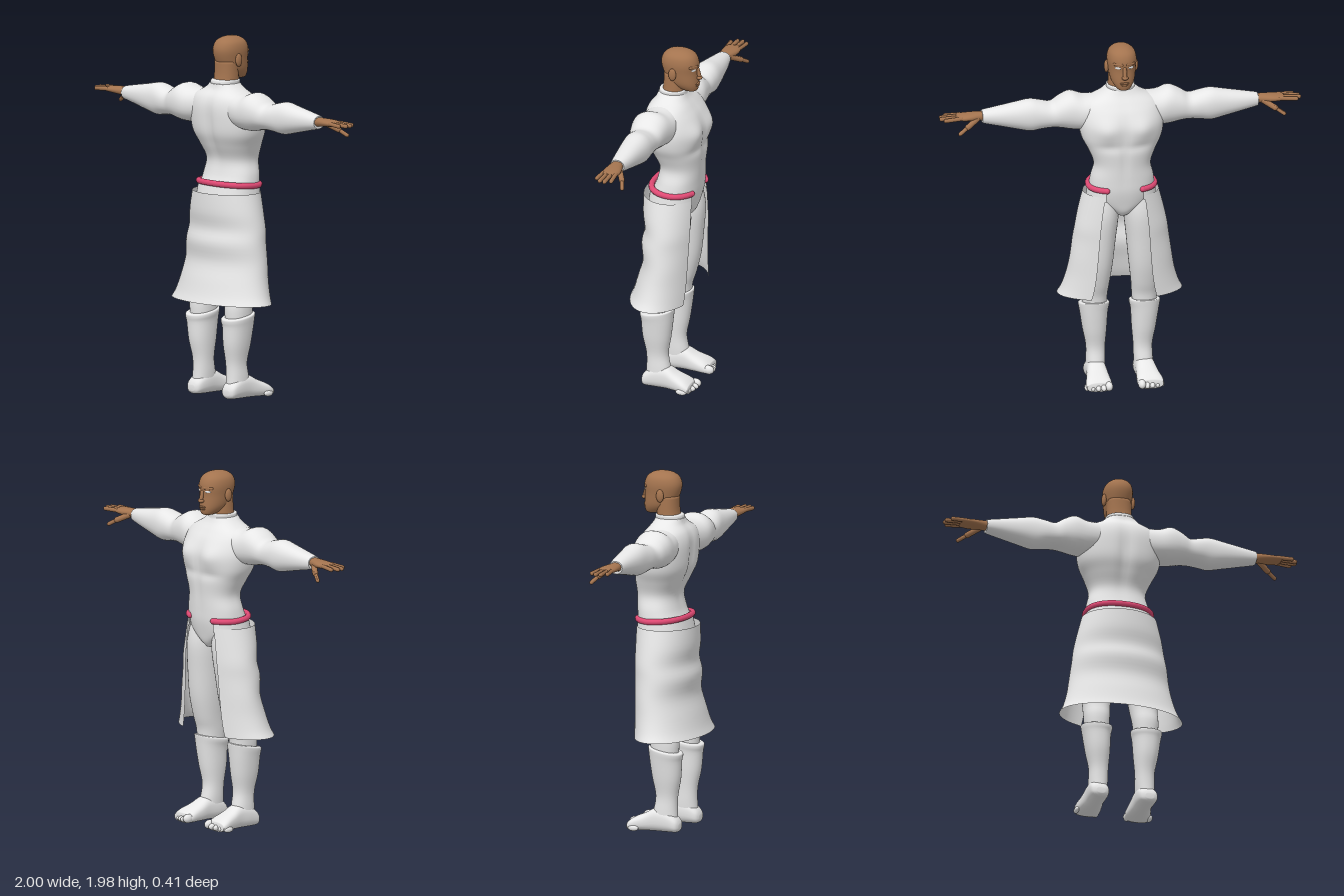
import * as THREE from 'three';

const mat = (name, color, side = THREE.FrontSide) => {
  const m = new THREE.MeshStandardMaterial({ color, side });
  m.name = name;
  return m;
};

// Catmull-Rom resampling of a few cross-section rows
function resample(rows, k) {
  const out = [], last = rows.length - 1;
  for (let i = 0; i < last; i++) {
    const [a, b, c, d] = [rows[Math.max(i - 1, 0)], rows[i], rows[i + 1], rows[Math.min(i + 2, last)]];
    for (let j = 0; j < k; j++) {
      const t = j / k;
      out.push(b.map((_, q) => b[q] + 0.5 * t * (c[q] - a[q]
        + t * (2 * a[q] - 5 * b[q] + 4 * c[q] - d[q] + t * (3 * (b[q] - c[q]) + d[q] - a[q])))));
    }
  }
  out.push(rows[last]);
  return out;
}

function flip(geo) {
  const ix = geo.index.array;
  for (let i = 0; i < ix.length; i += 3) [ix[i], ix[i + 1]] = [ix[i + 1], ix[i]];
}

// Skin through oval sections: row = [position on axis, u0, u1, v0, v1]
// axis y: u = x, v = z; axis x: u = y, v = z; axis z: u = x, v = y. gap leaves the -z side open.
function loft(axis, rows, { n = 32, p = 2.2, k = 4, gap = 0, deform = null } = {}) {
  const pos = [], idx = [], list = resample(rows, k), cols = gap ? n + 1 : n;
  const place = (w, u, v) => {
    const q = axis === 'y' ? new THREE.Vector3(u, w, v)
      : axis === 'x' ? new THREE.Vector3(w, u, v) : new THREE.Vector3(u, v, w);
    if (deform) deform(q);
    pos.push(q.x, q.y, q.z);
  };
  const pw = c => Math.sign(c) * Math.abs(c) ** (2 / p);
  for (const [w, u0, u1, v0, v1] of list)
    for (let j = 0; j < cols; j++) {
      const t = -Math.PI / 2 + gap + (j / n) * (Math.PI * 2 - 2 * gap);
      place(w, (u0 + u1) / 2 + (u1 - u0) / 2 * pw(Math.cos(t)), (v0 + v1) / 2 + (v1 - v0) / 2 * pw(Math.sin(t)));
    }
  for (let i = 0; i < list.length - 1; i++)
    for (let j = 0; j < n; j++) {
      const a = i * cols + j, b = i * cols + (j + 1) % cols;
      idx.push(a, a + cols, b, b, a + cols, b + cols);
    }
  if (!gap) for (const [r, s] of [[0, 1], [list.length - 1, 0]]) {
    const [w, u0, u1, v0, v1] = list[r], c = pos.length / 3;
    place(w, (u0 + u1) / 2, (v0 + v1) / 2);
    for (let j = 0; j < n; j++) {
      const a = r * cols + j, b = r * cols + (j + 1) % n;
      s ? idx.push(c, a, b) : idx.push(c, b, a);
    }
  }
  const geo = new THREE.BufferGeometry();
  geo.setAttribute('position', new THREE.Float32BufferAttribute(pos, 3));
  geo.setIndex(idx);
  // turn the faces outward by the sign of the enclosed volume
  let vol = 0;
  const P = i => new THREE.Vector3().fromArray(pos, i * 3);
  for (let i = 0; i < idx.length; i += 3) vol += P(idx[i]).dot(P(idx[i + 1]).cross(P(idx[i + 2])));
  if (vol < 0) flip(geo);
  geo.computeVertexNormals();
  return geo;
}

const sym = rows => rows.map(([y, w, f, b]) => [y, -w, w, f, b]);
const blob = (x, y, z, rx, ry, rz) => new THREE.SphereGeometry(1, 20, 14).scale(rx, ry, rz).translate(x, y, z);

// Rounded rod between two points
function rod(a, b, r) {
  const A = new THREE.Vector3(...a), B = new THREE.Vector3(...b), d = B.clone().sub(A);
  const g = new THREE.CapsuleGeometry(r, d.length(), 5, 12);
  g.applyQuaternion(new THREE.Quaternion().setFromUnitVectors(new THREE.Vector3(0, 1, 0), d.normalize()));
  const m = A.add(B).multiplyScalar(0.5);
  return g.translate(m.x, m.y, m.z);
}

export function createModel() {
  const model = new THREE.Group();
  model.name = 'standingFigure';
  const cloth = mat('whiteCloth', 0xe8e8e8), skin = mat('brownSkin', 0xa4744f);
  const sheet = mat('whiteCoat', 0xe8e8e8, THREE.DoubleSide), sash = mat('redSash', 0xe04a74);

  const add = (name, geo, m) => {
    const mesh = new THREE.Mesh(geo, m);
    mesh.name = name;
    model.add(mesh);
  };
  const pair = (name, geo, m) => {
    add(name + 'Left', geo, m);
    const g = geo.clone().scale(-1, 1, 1);
    flip(g);
    g.computeVertexNormals();
    add(name + 'Right', g, m);
  };
  const bump = (d, s) => Math.exp(-((d / s) ** 2));

  // Torso with chest, belly and spine relief
  add('torso', loft('y', sym([
    [1.0, 0.03, -0.11, -0.03], [1.03, 0.07, -0.135, 0.05], [1.08, 0.15, -0.15, 0.085],
    [1.15, 0.176, -0.165, 0.09], [1.22, 0.172, -0.17, 0.065], [1.3, 0.156, -0.175, 0.055],
    [1.38, 0.185, -0.183, 0.09], [1.45, 0.22, -0.185, 0.12], [1.53, 0.232, -0.183, 0.13],
    [1.6, 0.222, -0.158, 0.13], [1.65, 0.195, -0.125, 0.115], [1.69, 0.12, -0.095, 0.085],
    [1.72, 0.08, -0.08, 0.075]]), {
    n: 64, p: 2.3, k: 5, deform: q => {
      const x = Math.abs(q.x);
      if (q.z < -0.03) {
        q.z -= 0.02 * bump(x - 0.1, 0.06) * bump(q.y - 1.52, 0.06);
        q.z += 0.008 * bump(x, 0.02) * bump(q.y - 1.42, 0.18);
        q.z += 0.008 * bump(x - 0.08, 0.08) * bump(q.y - 1.42, 0.025);
      } else if (q.z > 0.02) {
        q.z -= 0.018 * bump(x, 0.03) * bump(q.y - 1.48, 0.16);
      }
    }
  }), cloth);
  add('collar', loft('y', sym([[1.67, 0.095, -0.1, 0.09], [1.71, 0.078, -0.084, 0.075],
    [1.735, 0.078, -0.084, 0.07], [1.74, 0.07, -0.075, 0.06]])), cloth);

  // Head
  add('neck', loft('y', sym([[1.69, 0.072, -0.075, 0.06], [1.76, 0.069, -0.075, 0.047],
    [1.84, 0.066, -0.07, 0.045]])), skin);
  add('head', loft('y', sym([[1.738, 0.02, -0.132, -0.09], [1.745, 0.036, -0.144, -0.06],
    [1.77, 0.056, -0.15, -0.01], [1.8, 0.068, -0.15, 0.025], [1.85, 0.075, -0.147, 0.05],
    [1.9, 0.08, -0.15, 0.061], [1.94, 0.071, -0.136, 0.048], [1.963, 0.047, -0.108, 0.02],
    [1.972, 0.025, -0.08, -0.01], [1.975, 0.006, -0.055, -0.035]])), skin);
  add('noseBridge', rod([0, 1.868, -0.146], [0, 1.825, -0.158], 0.011), skin);
  add('noseTip', blob(0, 1.82, -0.157, 0.018, 0.012, 0.016), skin);
  add('upperLip', blob(0, 1.785, -0.147, 0.026, 0.006, 0.01), skin);
  add('lowerLip', blob(0, 1.774, -0.146, 0.022, 0.006, 0.01), skin);
  pair('brow', rod([0.015, 1.892, -0.143], [0.052, 1.892, -0.124], 0.009), skin);
  pair('eye', blob(0, 0, 0, 0.018, 0.007, 0.004).rotateY(-0.45).translate(0.036, 1.873, -0.138), cloth);
  pair('ear', blob(0.081, 1.848, -0.03, 0.013, 0.036, 0.022), skin);

  // Arms and hands
  pair('sleeve', loft('x', [
    [0.1, 1.5, 1.68, -0.1, 0.1], [0.2, 1.485, 1.675, -0.1, 0.12], [0.27, 1.485, 1.695, -0.09, 0.125],
    [0.33, 1.497, 1.672, -0.08, 0.115], [0.38, 1.502, 1.643, -0.07, 0.1], [0.44, 1.497, 1.655, -0.07, 0.095],
    [0.5, 1.49, 1.667, -0.07, 0.087], [0.58, 1.507, 1.653, -0.06, 0.08], [0.68, 1.53, 1.635, -0.045, 0.067],
    [0.75, 1.545, 1.622, -0.03, 0.057], [0.762, 1.55, 1.618, -0.026, 0.053]]), cloth);
  pair('palm', loft('x', [[0.72, 1.555, 1.612, -0.012, 0.042], [0.78, 1.565, 1.612, -0.024, 0.05],
    [0.84, 1.57, 1.61, -0.04, 0.056], [0.89, 1.575, 1.605, -0.037, 0.056], [0.908, 1.583, 1.598, -0.025, 0.045]],
    { n: 20 }), skin);
  [[-0.027, 0.968, -0.035], [-0.003, 0.988, -0.004], [0.022, 0.985, 0.025], [0.045, 0.958, 0.053]]
    .forEach(([z0, x, z1], i) =>
      pair('finger' + (i + 1), rod([0.88, 1.592, z0], [x, 1.588, z1], 0.0115), skin));
  pair('thumbBase', rod([0.79, 1.58, -0.012], [0.85, 1.548, -0.05], 0.016), skin);
  pair('thumb', rod([0.85, 1.548, -0.05], [0.895, 1.52, -0.07], 0.011), skin);

  // Legs, boots and feet
  pair('leg', loft('y', [
    [1.12, 0.02, 0.17, -0.13, 0.085], [1.0, 0.015, 0.195, -0.145, 0.095], [0.85, 0.03, 0.205, -0.13, 0.09],
    [0.7, 0.045, 0.21, -0.11, 0.085], [0.58, 0.06, 0.207, -0.08, 0.088], [0.5, 0.068, 0.207, -0.055, 0.105],
    [0.4, 0.075, 0.2, -0.05, 0.1]]), cloth);
  pair('boot', loft('y', [
    [0.46, 0.066, 0.214, -0.055, 0.118], [0.456, 0.057, 0.224, -0.063, 0.127], [0.44, 0.056, 0.224, -0.062, 0.127],
    [0.4, 0.064, 0.217, -0.056, 0.122], [0.3, 0.07, 0.202, -0.043, 0.116], [0.2, 0.078, 0.183, -0.026, 0.097],
    [0.12, 0.08, 0.184, -0.038, 0.095], [0.05, 0.085, 0.185, -0.05, 0.1]],
    { deform: q => { q.y += THREE.MathUtils.smoothstep(q.y, 0.38, 0.45) * (0.025 - q.z) * 0.2; } }), cloth);
  pair('foot', loft('z', [
    [0.118, 0.115, 0.16, 0.02, 0.05], [0.102, 0.09, 0.185, 0.003, 0.08], [0.05, 0.08, 0.19, 0, 0.12],
    [-0.02, 0.08, 0.19, 0, 0.13], [-0.08, 0.075, 0.2, 0, 0.1], [-0.14, 0.07, 0.214, 0, 0.074],
    [-0.172, 0.075, 0.21, 0.003, 0.052]], { p: 2.5 }), cloth);
  for (let i = 0; i < 5; i++) {
    const r = i ? 0.0155 - 0.0005 * i : 0.021;
    pair('toe' + (i + 1), blob(0.091 + 0.029 * i, r + 0.012 - 0.002 * i, -0.173 + 0.0025 * i * i, r, r * 1.2, 0.031), cloth);
  }

  // Open-fronted coat tail, its waistband and the sash
  add('coatTail', loft('y', sym([
    [1.125, 0.208, -0.18, 0.15], [1.02, 0.235, -0.18, 0.148], [0.93, 0.254, -0.178, 0.133],
    [0.85, 0.266, -0.175, 0.15], [0.75, 0.28, -0.17, 0.138], [0.65, 0.298, -0.168, 0.165],
    [0.57, 0.322, -0.165, 0.187], [0.525, 0.345, -0.162, 0.205]]), { n: 56, p: 2, gap: 0.55 }), sheet);
  add('waistband', loft('y', sym([[1.1, 0.19, -0.172, 0.115], [1.17, 0.183, -0.17, 0.1]]),
    { n: 40, p: 2.3, gap: 0.52 }), sheet);
  const path = [];
  for (let i = 0; i <= 24; i++) {
    const t = -Math.PI / 2 + 0.52 + (i / 24) * (Math.PI * 2 - 1.04);
    const pw = c => Math.sign(c) * Math.abs(c) ** (2 / 2.3);
    const z = -0.034 + 0.134 * pw(Math.sin(t));
    path.push(new THREE.Vector3(0.181 * pw(Math.cos(t)), 1.168 + 0.08 * Math.max(z, -0.05), z));
  }
  add('sash', new THREE.TubeGeometry(new THREE.CatmullRomCurve3(path), 72, 0.0165, 10), sash);
  for (const [i, e] of [path[0], path[24]].entries())
    add(i ? 'sashEndRight' : 'sashEndLeft', blob(e.x, e.y, e.z, 0.0165, 0.0165, 0.0165), sash);

  return model;
}
